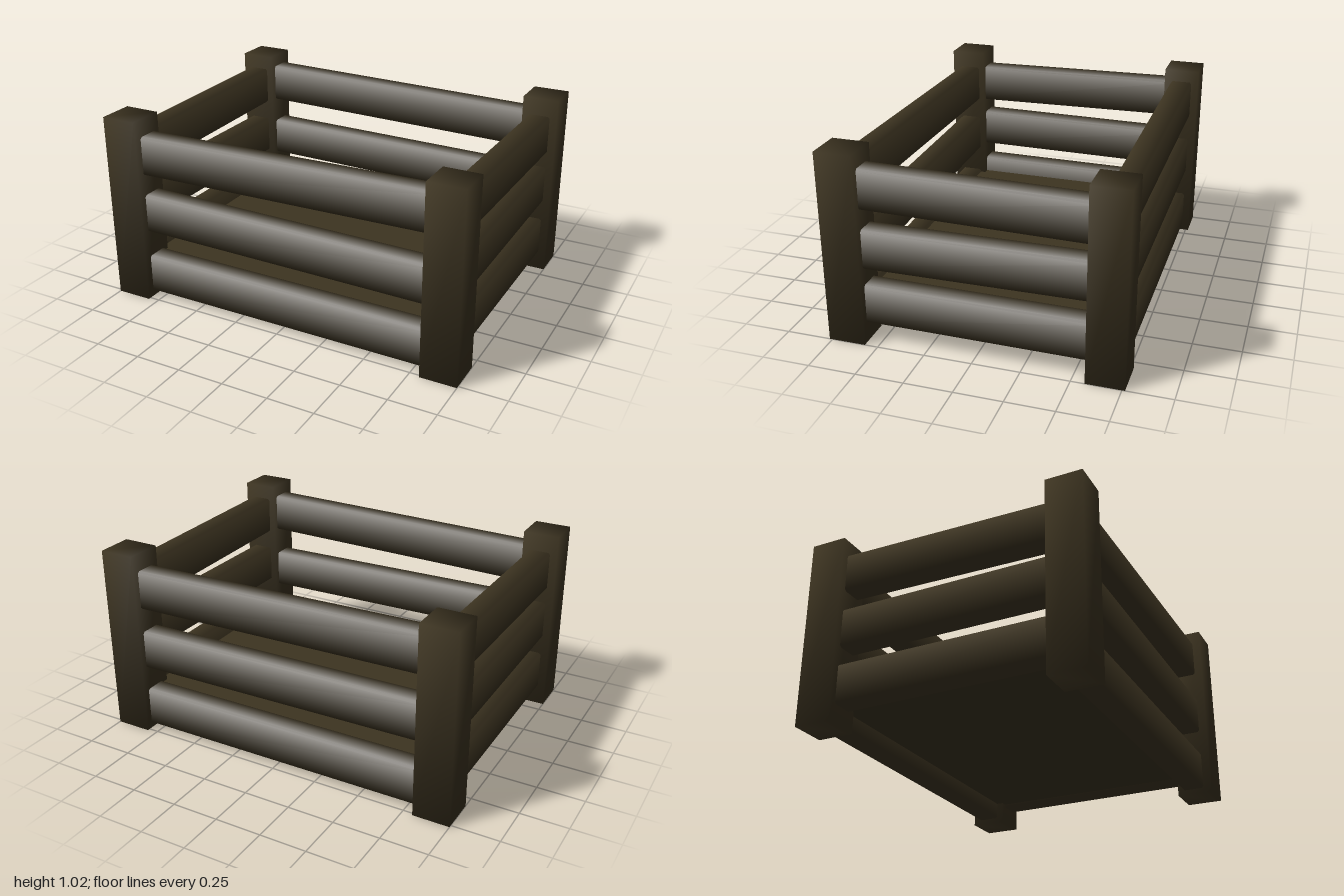
import * as THREE from 'three';

const wood = new THREE.MeshStandardMaterial({ color: 0x3d3421 });
wood.name = 'dark wood';

// Soft shading: every normal points out through the nearest corner;
// weight sets how much each axis counts
function softenNormals(geo, weight) {
  const p = geo.attributes.position, n = geo.attributes.normal, v = new THREE.Vector3();
  for (let i = 0; i < p.count; i++) {
    v.set(Math.sign(p.getX(i)), Math.sign(p.getY(i)), Math.sign(p.getZ(i))).multiply(weight).normalize();
    n.setXYZ(i, v.x, v.y, v.z);
  }
  return geo;
}

// Slightly chamfered rail along z, sloping from height y0 at its -z end to y1 at its +z end
function railGeometry(length, y0, y1) {
  const a = 0.06, b = 0.106, c = 0.01;
  const section = new THREE.Shape([
    [-a, c - b], [c - a, -b], [a - c, -b], [a, c - b],
    [a, b - c], [a - c, b], [c - a, b], [-a, b - c],
  ].map(([x, y]) => new THREE.Vector2(x, y)));
  const geo = new THREE.ExtrudeGeometry(section, { depth: length, bevelEnabled: false });
  geo.translate(0, 0, -length / 2);
  softenNormals(geo, new THREE.Vector3(1, 1, 0));
  const p = geo.attributes.position;
  for (let i = 0; i < p.count; i++) {
    const t = p.getZ(i) / length + 0.5;
    p.setY(i, p.getY(i) + y0 + (y1 - y0) * t);
  }
  return geo;
}

export function createModel() {
  const group = new THREE.Group();
  const add = (name, geo, x, y, z) => {
    const mesh = new THREE.Mesh(geo, wood);
    mesh.name = name;
    mesh.position.set(x, y, z);
    group.add(mesh);
    return mesh;
  };

  // Corner posts
  const post = softenNormals(new THREE.BoxGeometry(0.195, 1.02, 0.195), new THREE.Vector3(1, 1, 1));
  for (const x of [-1, 1]) for (const z of [-1, 1]) add('cornerPost', post, x * 0.9025, 0.51, z * 0.6675);

  // Long rails, heights given at the -x and +x ends
  const front = [[0.137, 0.132], [0.495, 0.475], [0.82, 0.848]];
  const back = [[0.137, 0.132], [0.495, 0.475], [0.848, 0.82]];
  front.forEach(([a, b]) => { add('frontRail', railGeometry(1.72, a, b), 0, 0, 0.66).rotation.y = Math.PI / 2; });
  back.forEach(([a, b]) => { add('backRail', railGeometry(1.72, a, b), 0, 0, -0.667).rotation.y = Math.PI / 2; });

  // Short rails, heights given at the -z and +z ends
  const left = [[0.205, 0.212], [0.523, 0.513], [0.816, 0.834]];
  const right = [[0.205, 0.212], [0.513, 0.523], [0.834, 0.816]];
  left.forEach(([a, b]) => add('leftRail', railGeometry(1.25, a, b), 0.9, 0, 0));
  right.forEach(([a, b]) => add('rightRail', railGeometry(1.25, a, b), -0.9, 0, 0));

  // Thick floor slab held between the lowest rails
  add('floor', new THREE.BoxGeometry(1.72, 0.108, 1.24), 0, 0.172, 0);

  return group;
}
